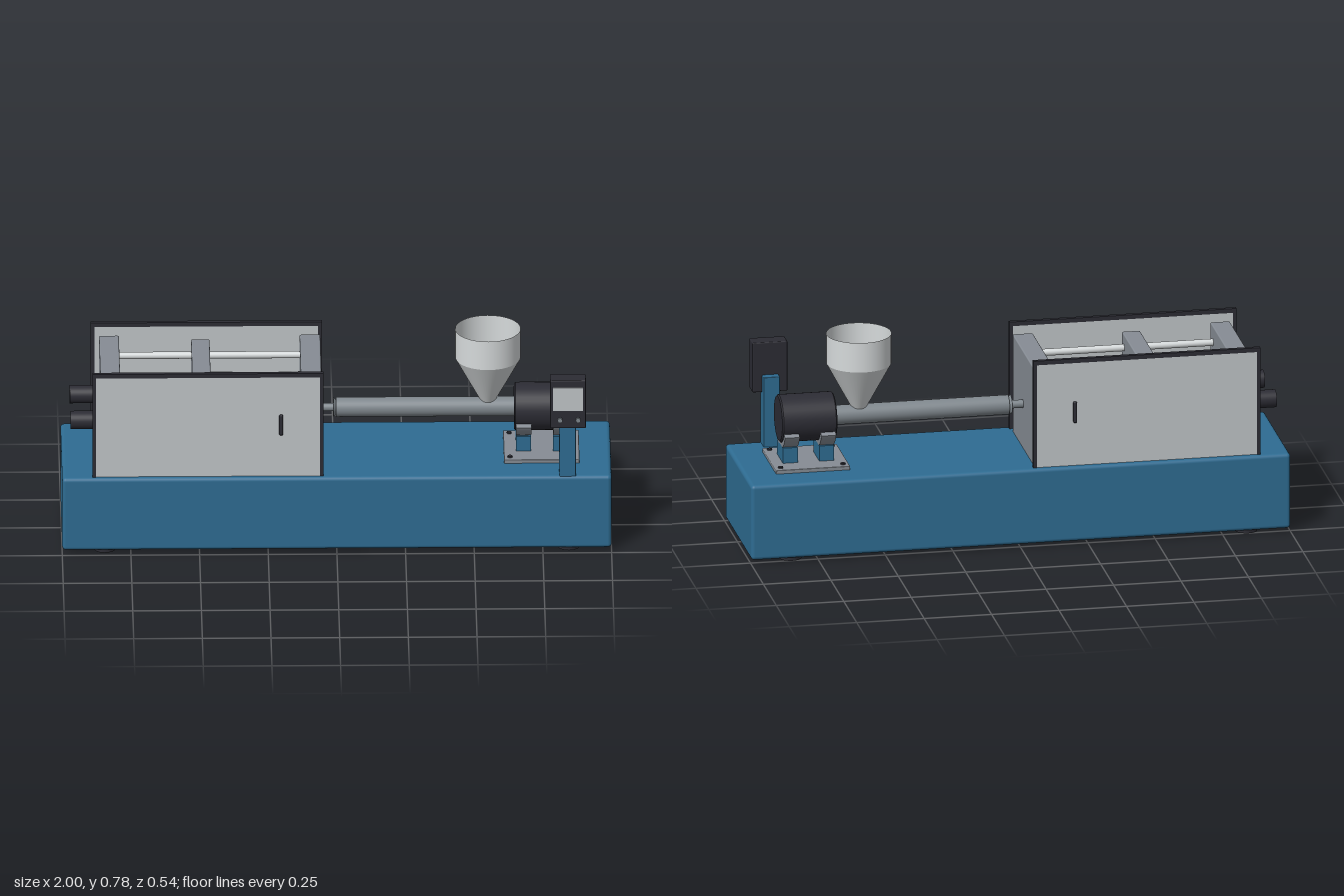
import * as THREE from 'three';
import { RoundedBoxGeometry } from 'three/addons/geometries/RoundedBoxGeometry.js';

const mat = (name, color) => {
  const m = new THREE.MeshStandardMaterial({ color });
  m.name = name;
  return m;
};

export function createModel() {
  const blue = mat('machine blue', 0x2e6c92);
  const grey = mat('cast grey', 0x868c94);
  const steel = mat('barrel steel', 0x7f878d);
  const silver = mat('panel silver', 0xc0c5c8);
  const bright = mat('polished metal', 0xd6dadb);
  const dark = mat('charcoal', 0x2c2c34);
  const model = new THREE.Group();
  const ZC = -0.014; // machine centre line
  const AXIS = 0.469; // injection axis height

  const add = (name, geo, material, parent = model) => {
    const mesh = new THREE.Mesh(geo, material);
    mesh.name = name;
    parent.add(mesh);
    return mesh;
  };
  // Box given by its min/max on each axis, with optional rounded edges
  const box = (name, m, [x0, x1], [y0, y1], [z0, z1], r = 0, parent = model) => {
    const s = [x1 - x0, y1 - y0, z1 - z0];
    const geo = r ? new RoundedBoxGeometry(...s, 3, r) : new THREE.BoxGeometry(...s);
    const mesh = add(name, geo, m, parent);
    mesh.position.set((x0 + x1) / 2, (y0 + y1) / 2, (z0 + z1) / 2);
    return mesh;
  };
  // Rod along x
  const rod = (name, m, x0, x1, y, z, r, r0 = r) => {
    const mesh = add(name, new THREE.CylinderGeometry(r0, r, x1 - x0, 32).rotateZ(Math.PI / 2), m);
    mesh.position.set((x0 + x1) / 2, y, z);
    return mesh;
  };
  const disc = (name, m, r, h, x, y, z) => {
    const mesh = add(name, new THREE.CylinderGeometry(r, r, h, 24), m);
    mesh.position.set(x, y, z);
    return mesh;
  };

  // Bed and feet
  box('bed', blue, [-1, 1], [0.014, 0.3], [-0.268, 0.24], 0.014);
  for (const x of [-0.845, 0.845])
    for (const z of [-0.213, 0.187]) disc('foot', dark, 0.04, 0.02, x, 0.01, z);

  // Clamp unit: platens, tie bars, rams, mould halves
  box('rearPlaten', grey, [-0.86, -0.788], [0.296, 0.671], [-0.212, 0.185], 0.005);
  box('movingPlaten', grey, [-0.525, -0.458], [0.302, 0.66], [-0.2, 0.172], 0.005);
  box('fixedPlaten', grey, [-0.13, -0.055], [0.296, 0.671], [-0.212, 0.185], 0.005);
  for (const s of [-1, 1]) {
    for (const y of [0.36, 0.61]) rod('tieBar', bright, -0.84, -0.08, y, -0.016 + s * 0.152, 0.013);
    rod('clampRam', dark, -0.968, -0.525, 0.472, -0.019 + s * 0.115, 0.033);
  }
  box('movingMould', silver, [-0.46, -0.375], [0.375, 0.568], [-0.113, 0.08]);
  box('fixedMould', silver, [-0.208, -0.128], [0.375, 0.568], [-0.113, 0.08]);

  // Safety doors on both sides
  for (const [zc, s] of [[0.2175, 1], [-0.2455, -1]]) {
    const door = new THREE.Group();
    door.name = s > 0 ? 'frontDoor' : 'backDoor';
    model.add(door);
    const t = [zc - 0.008, zc + 0.008];
    box('doorPanel', silver, [-0.88, -0.06], [0.3, 0.7], [zc - 0.005, zc + 0.005], 0, door);
    box('doorTopRail', dark, [-0.89, -0.048], [0.693, 0.709], t, 0, door);
    box('doorRearStile', dark, [-0.89, -0.877], [0.3, 0.693], t, 0, door);
    box('doorFrontStile', dark, [-0.062, -0.048], [0.3, 0.693], t, 0, door);
    const zh = zc + s * 0.009;
    box('doorHandle', dark, [-0.21, -0.196], [0.465, 0.545], [zh - 0.006, zh + 0.006], 0.004, door);
  }

  // Injection barrel and nozzle
  rod('barrel', steel, 0, 0.66, AXIS, ZC, 0.036);
  rod('barrelCollar', steel, -0.01, 0, AXIS, ZC, 0.026, 0.036);
  rod('nozzle', steel, -0.055, -0.01, AXIS, ZC, 0.015);

  // Open hopper
  const profile = [[0.027, 0.495], [0.119, 0.665], [0.119, 0.778]].map(p => new THREE.Vector2(...p));
  const hopperMat = bright.clone();
  hopperMat.name = 'hopper metal';
  hopperMat.side = THREE.DoubleSide;
  // Separate bands keep the shoulder crisp
  for (const i of [0, 1]) {
    const part = add(i ? 'hopperRim' : 'hopperCone', new THREE.LatheGeometry(profile.slice(i, i + 2), 48), hopperMat);
    part.position.set(0.553, 0, ZC);
  }

  // Drive motor with softened ends
  rod('motor', dark, 0.653, 0.847, AXIS, ZC, 0.088);
  rod('motorFrontEdge', dark, 0.648, 0.653, AXIS, ZC, 0.088, 0.083);
  rod('motorRearEdge', dark, 0.847, 0.852, AXIS, ZC, 0.083, 0.088);

  // Saddles and pedestals under the motor
  const a0 = -Math.PI * 0.86, a1 = -Math.PI * 0.14;
  const arc = new THREE.Shape();
  arc.absarc(0, 0, 0.107, a0, a1, false);
  arc.absarc(0, 0, 0.087, a1, a0, true);
  for (const x of [0.655, 0.79]) {
    const geo = new THREE.ExtrudeGeometry(arc, { depth: 0.055, bevelEnabled: false, curveSegments: 24 });
    const saddle = add('motorSaddle', geo.rotateY(Math.PI / 2), grey);
    saddle.position.set(x, AXIS, ZC);
    box('motorPedestal', blue, [x, x + 0.055], [0.312, 0.372], [-0.07, 0.043]);
  }
  box('mountPlate', grey, [0.61, 0.885], [0.298, 0.314], [-0.147, 0.12], 0.003);
  for (const x of [0.632, 0.863])
    for (const z of [-0.12, 0.094]) disc('mountBolt', dark, 0.009, 0.008, x, 0.315, z);

  // Control stand
  box('controlPost', blue, [0.81, 0.87], [0.296, 0.567], [0.168, 0.234], 0.003);
  box('controlBox', dark, [0.776, 0.906], [0.501, 0.691], [0.2, 0.262], 0.004);
  box('controlScreen', silver, [0.786, 0.896], [0.572, 0.664], [0.26, 0.266]);
  for (const x of [0.812, 0.878]) {
    const button = disc('controlButton', steel, 0.009, 0.01, x, 0.535, 0.266);
    button.rotation.x = Math.PI / 2;
  }
  return model;
}
